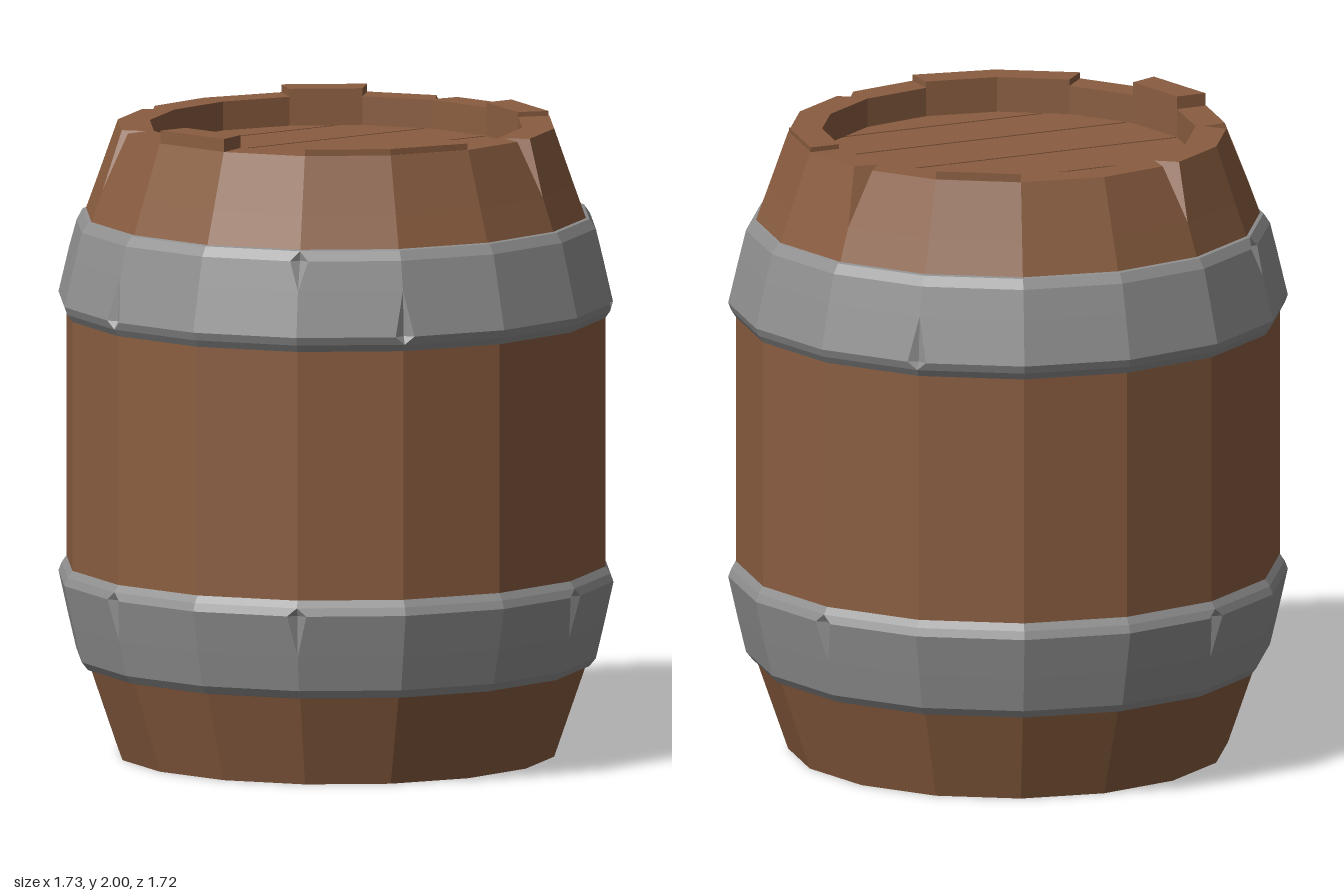
import * as THREE from 'three';

const SIDES = 16, STEP = 360 / SIDES;
const rad = THREE.MathUtils.degToRad;
const wood = new THREE.MeshStandardMaterial({ color: 0x8a5d40, flatShading: true });
const iron = new THREE.MeshStandardMaterial({ color: 0x909090, flatShading: true });

// Sixteen-sided ring from a profile of [radius, y], running bottom to top on the outside.
// nicks maps a corner angle in degrees to the profile row that is dented there.
function ring(profile, nicks, halfWidth, depth) {
  const cols = [];
  for (let i = 0; i < SIDES; i++) {
    const a = i * STEP, row = nicks[a];
    if (row === undefined) { cols.push({ a, k: 1 }); continue; }
    const k = Math.cos(rad(STEP / 2)) / Math.cos(rad(STEP / 2 - halfWidth));
    cols.push({ a: a - halfWidth, k }, { a, k: 1, row }, { a: a + halfWidth, k });
  }
  const point = (c, j) => {
    const r = profile[j][0] * c.k - (c.row === j ? depth : 0);
    return [r * Math.sin(rad(c.a)), profile[j][1], r * Math.cos(rad(c.a))];
  };
  const pos = [];
  cols.forEach((l, i) => {
    const r = cols[(i + 1) % cols.length];
    for (let j = 0; j < profile.length - 1; j++) {
      const A = point(l, j), B = point(r, j), C = point(r, j + 1), D = point(l, j + 1);
      // the diagonal runs from the rim of a dent to its tip
      const flip = l.row === j || r.row === j + 1;
      const tris = flip ? [A, B, D, B, C, D] : [A, B, C, A, C, D];
      tris.forEach(p => pos.push(...p));
    }
  });
  const geo = new THREE.BufferGeometry();
  geo.setAttribute('position', new THREE.Float32BufferAttribute(pos, 3));
  geo.computeVertexNormals();
  return geo;
}

// Upright prism from a plan outline of [x, z]
function prism(points, y0, y1) {
  const shape = new THREE.Shape(points.map(([x, z]) => new THREE.Vector2(x, -z)));
  return new THREE.ExtrudeGeometry(shape, { depth: y1 - y0, bevelEnabled: false })
    .rotateX(-Math.PI / 2).translate(0, y0, 0);
}

export function createModel() {
  const group = new THREE.Group();
  const add = (name, geo, mat) => {
    const mesh = new THREE.Mesh(geo, mat);
    mesh.name = name;
    group.add(mesh);
  };

  // Staves with recessed ends and splits in the top rim
  const body = [[0, 0.08], [0.58, 0.08], [0.58, 0], [0.68, 0], [0.78, 0.29], [0.84, 0.595],
    [0.84, 1.375], [0.78, 1.68], [0.742, 1.785], [0.68, 1.96], [0.58, 1.96], [0.58, 1.85], [0, 1.85]];
  add('body', ring(body, { 112.5: 9, 202.5: 9, 292.5: 9, 337.5: 9 }, 3.2, 0.075), wood);

  // Iron hoops with dented edges
  const lower = [[0.77, 0.28], [0.79, 0.285], [0.81, 0.31], [0.836, 0.42], [0.865, 0.55],
    [0.855, 0.575], [0.838, 0.6]];
  const upper = [[0.838, 1.37], [0.855, 1.395], [0.865, 1.42], [0.832, 1.56], [0.81, 1.65],
    [0.79, 1.68], [0.77, 1.685]];
  add('lowerHoop', ring(lower, { 0: 4, 45: 4, 112.5: 4, 202.5: 4, 292.5: 4 }, 2, 0.024), iron);
  add('upperHoop', ring(upper, { 0: 2, 67.5: 2, 135: 2, 225: 2, 45: 4, 315: 4 }, 2, 0.024), iron);

  // Stave ends that stand proud of the rim: start angle, end angle, top
  const proud = [[0, 22.5, 2], [45, 90, 1.98], [157.5, 180, 1.975], [225, 247.5, 1.985]];
  for (const [from, to, top] of proud) {
    const outer = [], inner = [];
    for (let a = from; a <= to; a += STEP) {
      const s = Math.sin(rad(a)), c = Math.cos(rad(a));
      outer.push([0.677 * s, 0.677 * c]);
      inner.unshift([0.58 * s, 0.58 * c]);
    }
    add('raisedStave', prism([...outer, ...inner], 1.96, top), wood);
  }

  // Lid planks, cut to the sixteen-sided opening
  const R = 0.58, corners = [];
  for (let i = 0; i <= SIDES / 2; i++) corners.push([-R * Math.cos(rad(i * STEP)), R * Math.sin(rad(i * STEP))]);
  const halfDepth = x => {
    for (let i = 1; i < corners.length; i++) {
      const [x0, z0] = corners[i - 1], [x1, z1] = corners[i];
      if (x <= x1) return z0 + (z1 - z0) * (x - x0) / (x1 - x0);
    }
    return 0;
  };
  const seams = [-0.584, -0.455, -0.24, 0, 0.24, 0.455, 0.584];
  for (let i = 0; i < seams.length - 1; i++) {
    const a = seams[i] + 0.005, b = seams[i + 1] - 0.005;
    const xs = [a, ...corners.map(c => c[0]).filter(x => x > a + 0.002 && x < b - 0.002), b];
    const near = xs.map(x => [x, Math.max(halfDepth(x), 0.001)]);
    const far = near.map(([x, z]) => [x, -z]).reverse();
    add('lidPlank', prism([...near, ...far], 1.845, 1.87), wood);
  }
  return group;
}
